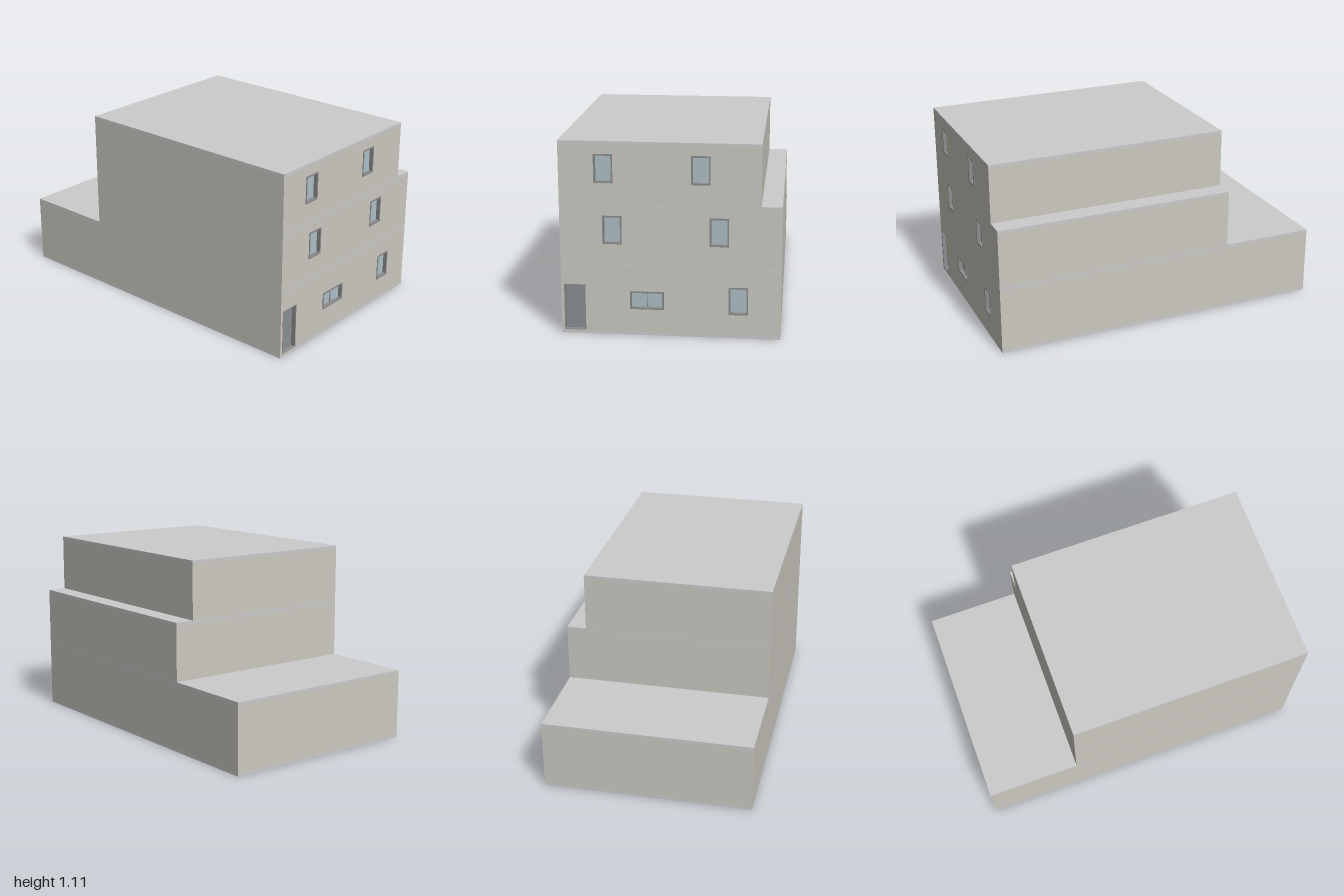
import * as THREE from 'three';

const FRONT = 0.997;   // facade plane
const SKIN = 0.04;     // facade thickness
const LEFT = -0.612;   // common side of all storeys
const SLAB = 0.02;

const mat = (color) => new THREE.MeshStandardMaterial({ color });
const wallMat = mat(0xccc9c1), slabMat = mat(0xc2c2c0), frameMat = mat(0x8c8c8c);
const glassMat = mat(0xaebfc8), doorMat = mat(0x8a8f95);

// Each storey: floor and ceiling heights, right side, back, and openings [x0, x1, y0, y1]
const storeys = [
  { y0: SLAB, y1: 0.415, right: 0.612, back: -1, windows: [[-0.225, -0.036, 0.153, 0.257], [0.324, 0.431, 0.137, 0.296]], door: [-0.595, -0.475, 0.02, 0.288] },
  { y0: 0.415, y1: 0.76, right: 0.612, back: -0.44, windows: [[-0.374, -0.267, 0.528, 0.689], [0.216, 0.323, 0.528, 0.689]] },
  { y0: 0.76, y1: 1.105, right: 0.497, back: -0.44, windows: [[-0.418, -0.313, 0.873, 1.034], [0.115, 0.22, 0.873, 1.034]] },
];

function add(parent, name, geometry, material) {
  const mesh = new THREE.Mesh(geometry, material);
  mesh.name = name;
  parent.add(mesh);
  return mesh;
}

// Box given by its extents
function box(parent, name, material, x0, x1, y0, y1, z0, z1) {
  const mesh = add(parent, name, new THREE.BoxGeometry(x1 - x0, y1 - y0, z1 - z0), material);
  mesh.position.set((x0 + x1) / 2, (y0 + y1) / 2, (z0 + z1) / 2);
  return mesh;
}

const corners = (x0, x1, y0, y1) => [[x0, y0], [x1, y0], [x1, y1], [x0, y1]].map(([x, y]) => new THREE.Vector2(x, y));

// Rectangular panel pierced by rectangular holes
function panel(parent, name, material, rect, holes, z0, z1) {
  const shape = new THREE.Shape(corners(...rect));
  holes.forEach((h) => shape.holes.push(new THREE.Path(corners(...h).reverse())));
  const geometry = new THREE.ExtrudeGeometry(shape, { depth: z1 - z0, bevelEnabled: false });
  add(parent, name, geometry, material).position.z = z0;
}

function windowUnit([x0, x1, y0, y1]) {
  const group = new THREE.Group();
  group.name = 'window';
  const t = 0.009;
  panel(group, 'windowFrame', frameMat, [x0, x1, y0, y1], [[x0 + t, x1 - t, y0 + t, y1 - t]], 0.962, 1);
  box(group, 'windowGlass', glassMat, x0 + t, x1 - t, y0 + t, y1 - t, 0.962, 0.977);
  // Wide windows have a central mullion
  if (x1 - x0 > 0.15) {
    const c = (x0 + x1) / 2;
    box(group, 'windowMullion', frameMat, c - 0.002, c + 0.002, y0 + t, y1 - t, 0.976, 0.982);
  }
  return group;
}

function doorUnit([x0, x1, y0, y1]) {
  const group = new THREE.Group();
  group.name = 'door';
  const t = 0.006;
  panel(group, 'doorFrame', frameMat, [x0, x1, y0, y1], [[x0 + t, x1 - t, y0 + 0.003, y1 - t]], 0.962, 0.998);
  box(group, 'doorLeaf', doorMat, x0 + t, x1 - t, y0 + 0.003, y1 - t, 0.96, 0.972);
  const knob = add(group, 'doorKnob', new THREE.SphereGeometry(0.003, 10, 8), frameMat);
  knob.position.set(x1 - 0.016, 0.145, 0.974);
  return group;
}

export function createModel() {
  const model = new THREE.Group();
  model.name = 'steppedHouse';

  // Ground slab
  box(model, 'groundSlab', slabMat, LEFT, 0.612, 0, SLAB, -1, FRONT);

  storeys.forEach(({ y0, y1, right, back, windows, door }, i) => {
    const storey = new THREE.Group();
    storey.name = `storey${i + 1}`;
    const top = y1 - SLAB;
    // Walls behind the pierced facade, and the roof slab above
    box(storey, 'walls', wallMat, LEFT, right, y0, top, back, FRONT - SKIN);
    const holes = windows.slice();
    if (door) {
      // The door cuts the facade just above its bottom edge
      holes.push([door[0], door[1], door[2] + 0.001, door[3]]);
    }
    panel(storey, 'facade', wallMat, [LEFT, right, y0, top], holes, FRONT - SKIN, FRONT);
    box(storey, 'roofSlab', slabMat, LEFT, right, top, y1, back, FRONT);
    windows.forEach((w) => storey.add(windowUnit(w)));
    if (door) storey.add(doorUnit(door));
    model.add(storey);
  });

  return model;
}
